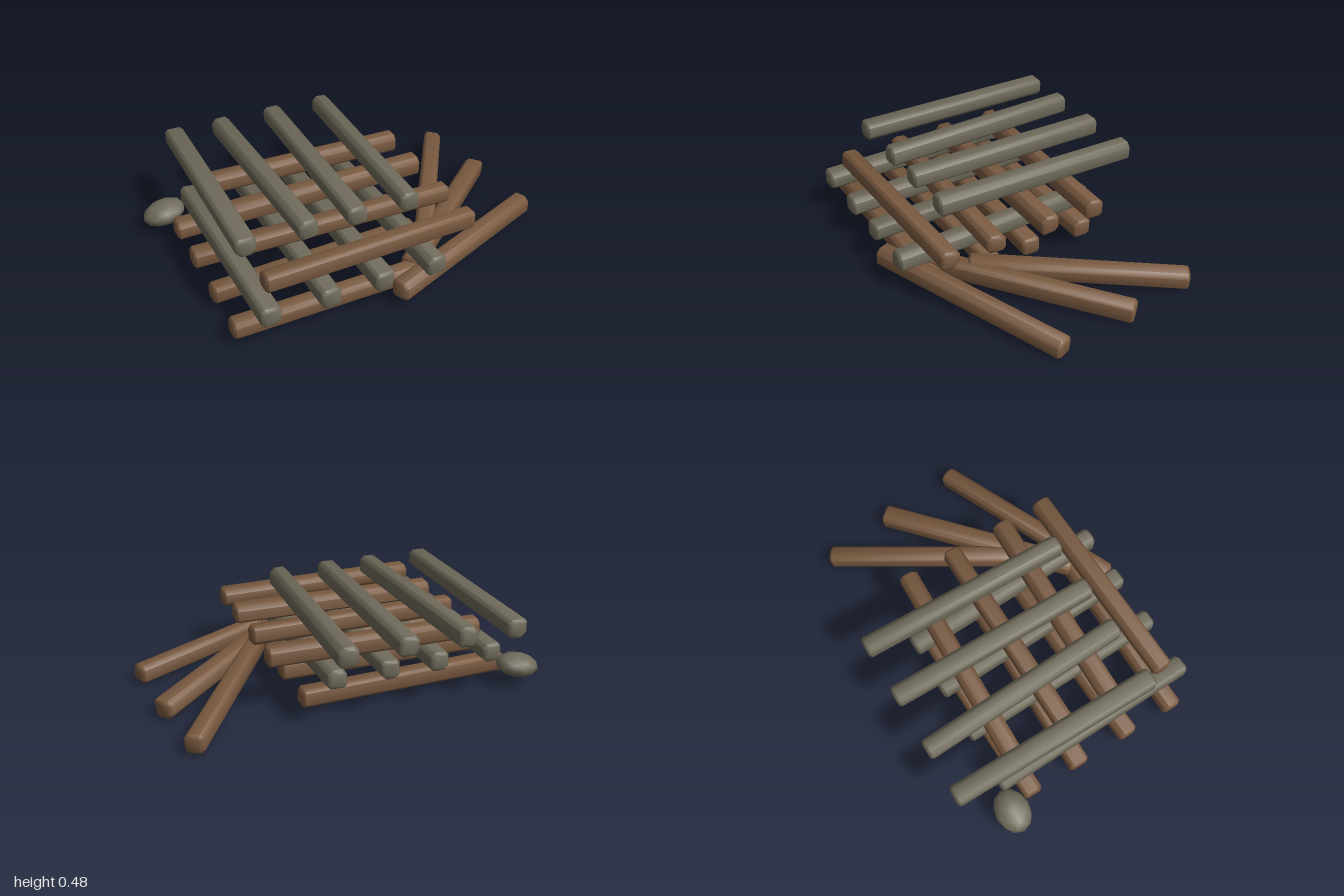
import * as THREE from 'three';
import { toCreasedNormals, mergeVertices } from 'three/addons/utils/BufferGeometryUtils.js';

const brown = new THREE.MeshStandardMaterial({ color: 0x7a5a40 });
brown.name = 'brownWood';
const grey = new THREE.MeshStandardMaterial({ color: 0x6f6a5a });
grey.name = 'weatheredGrey';

// Small seeded generator giving values from -1 to 1
let seed = 7;
function jitter() {
  seed = (seed * 16807) % 2147483647;
  return (seed / 2147483647) * 2 - 1;
}

// Roughly hewn timber between two points: uneven square section, chamfered corners and ends
function timber(name, from, to, material, size = 0.1) {
  const a = new THREE.Vector3(...from), b = new THREE.Vector3(...to);
  const length = a.distanceTo(b), bevel = 0.013, h = size / 2;
  const corners = [[1, 1], [-1, 1], [-1, -1], [1, -1]].map(([x, y]) =>
    new THREE.Vector2(x * (h + 0.003 * jitter()), y * (h + 0.003 * jitter())));
  const section = [];
  corners.forEach((c, i) => {
    const before = corners[(i + 3) % 4], after = corners[(i + 1) % 4];
    const cut = 0.2 + 0.07 * jitter();
    section.push(c.clone().lerp(before, cut), c.clone().lerp(after, cut));
  });
  const geometry = new THREE.ExtrudeGeometry(new THREE.Shape(section), {
    depth: length - 2 * bevel, steps: 1, bevelEnabled: true, bevelSegments: 1,
    bevelThickness: bevel, bevelSize: bevel, bevelOffset: -bevel,
  });
  geometry.translate(0, 0, bevel - length / 2);
  geometry.rotateZ(0.06 * jitter());
  const mesh = new THREE.Mesh(toCreasedNormals(geometry, 0.85), material);
  mesh.name = name;
  mesh.position.copy(a).add(b).multiplyScalar(0.5);
  mesh.lookAt(b);
  return mesh;
}

export function createModel() {
  seed = 7;
  const model = new THREE.Group();
  model.name = 'timberStack';

  // Crossed layers; each pair is the sideways position at the start and end of a timber
  const layers = [
    { name: 'bottomLayer', along: 'x', y: 0.09, start: -0.865, end: 0.28, material: brown,
      pairs: [[0.53, 0.52], [0.25, 0.2], [-0.055, -0.04], [-0.335, -0.365]] },
    { name: 'lowerCrossLayer', along: 'z', y: 0.205, start: 0.675, end: -0.475, material: grey,
      pairs: [[-0.71, -0.735], [-0.41, -0.435], [-0.13, -0.165], [0.155, 0.118]] },
    { name: 'upperLayer', along: 'x', y: 0.317, start: -0.7, end: 0.435, material: brown,
      pairs: [[0.54, 0.51], [0.235, 0.26], [-0.04, -0.05], [-0.35, -0.32]] },
    { name: 'topCrossLayer', along: 'z', y: 0.436, start: 0.43, end: -0.71, material: grey,
      pairs: [[-0.725, -0.72], [-0.41, -0.455], [-0.155, -0.146], [0.13, 0.157]] },
  ];
  for (const { name, along, y, start, end, material, pairs } of layers) {
    const layer = new THREE.Group();
    layer.name = name;
    pairs.forEach(([s, e], i) => {
      const from = along === 'x' ? [start, y, s] : [s, y, start];
      const to = along === 'x' ? [end, y, e] : [e, y, end];
      layer.add(timber(`${name}Timber${i + 1}`, from, to, material));
    });
    model.add(layer);
  }

  // Loose timbers fanned out beside the stack
  const fan = new THREE.Group();
  fan.name = 'looseTimbers';
  fan.add(
    timber('looseTimberFront', [-0.05, 0.115, 0.665], [0.975, 0.062, 0.225], brown, 0.102),
    timber('looseTimberMiddle', [0.09, 0.117, 0.52], [0.935, 0.062, -0.21], brown, 0.102),
    timber('looseTimberBack', [0.27, 0.12, 0.335], [0.87, 0.065, -0.595], brown, 0.102),
  );
  model.add(fan);

  // Faceted stone leaning at the back corner
  const pebble = new THREE.IcosahedronGeometry(1, 1);
  pebble.deleteAttribute('uv');
  pebble.deleteAttribute('normal');
  const pebbleSurface = mergeVertices(pebble);
  pebbleSurface.scale(0.118, 0.063, 0.093);
  pebbleSurface.computeVertexNormals();
  const stone = new THREE.Mesh(pebbleSurface, grey);
  stone.name = 'stone';
  stone.position.set(-0.883, 0.118, -0.478);
  stone.rotation.z = 0.2;
  model.add(stone);

  return model;
}
